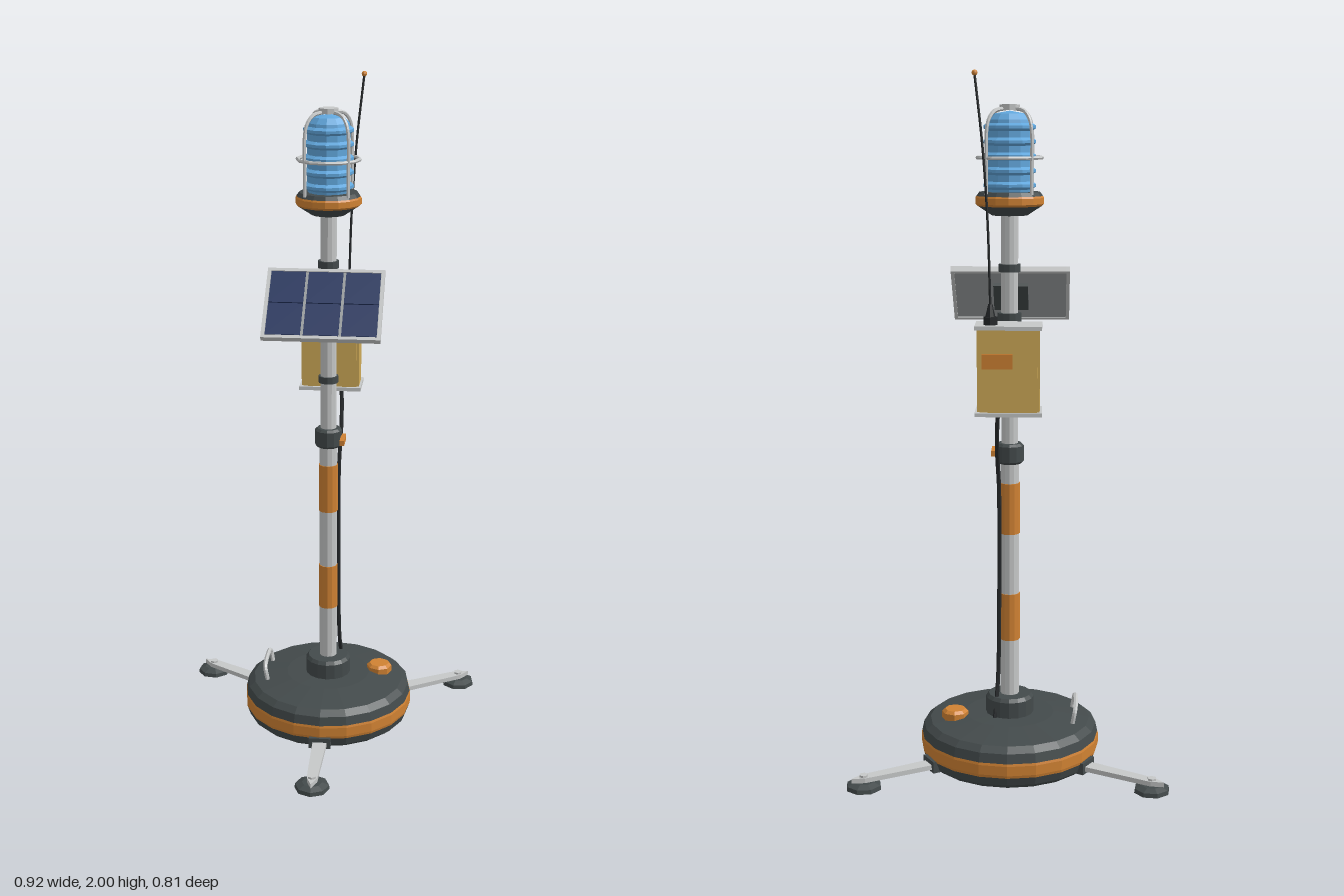
import * as THREE from 'three';

const mat = (name, color) => Object.assign(new THREE.MeshStandardMaterial({ color }), { name });

export function createModel() {
  const dark = mat('dark housing', 0x434a4b);
  const light = mat('light metal', 0xc6c8c8);
  const steel = mat('steel', 0x9b9fa0);
  const orange = mat('orange', 0xd08233);
  const blue = mat('blue lens', 0x62a8de);
  const tan = mat('tan box', 0xcfaa58);
  const navy = mat('solar cell', 0x22335e);
  const black = mat('black rubber', 0x25282a);

  const root = new THREE.Group();
  root.name = 'beaconStation';
  // Everything is placed relative to the pole axis
  const station = new THREE.Group();
  station.name = 'station';
  station.position.z = -0.118;
  root.add(station);

  // Adds a faceted mesh
  function add(name, geo, material, x = 0, y = 0, z = 0, parent = station) {
    const g = geo.index ? geo.toNonIndexed() : geo;
    g.computeVertexNormals();
    const m = new THREE.Mesh(g, material);
    m.name = name;
    m.position.set(x, y, z);
    parent.add(m);
    return m;
  }
  const box = (w, h, d) => new THREE.BoxGeometry(w, h, d);
  const lathe = (pts, n) => new THREE.LatheGeometry(pts.map(p => new THREE.Vector2(...p)), n);
  // Cylinder between two heights
  const drum = (name, r, y0, y1, material, n = 12, x = 0, z = 0, rTop = r, parent = station) =>
    add(name, new THREE.CylinderGeometry(rTop, r, y1 - y0, n), material, x, (y0 + y1) / 2, z, parent);
  const tube = (pts, r, seg = 24, n = 6) => new THREE.TubeGeometry(
    new THREE.CatmullRomCurve3(pts.map(p => new THREE.Vector3(...p))), seg, r, n);

  // Weighted base with painted band
  add('baseLower', lathe([[0, 0.004], [0.235, 0.004], [0.252, 0.018], [0.26, 0.042]], 20), dark);
  add('baseBand', lathe([[0.26, 0.042], [0.262, 0.05], [0.262, 0.078], [0.26, 0.085]], 20), orange);
  add('baseUpper', lathe([[0.26, 0.085], [0.254, 0.112], [0.235, 0.128], [0.13, 0.145], [0, 0.147]], 20), dark);
  drum('poleSocket', 0.07, 0.14, 0.193, dark, 16);
  drum('socketLip', 0.07, 0.193, 0.203, dark, 16, 0, 0, 0.062);
  drum('statusButton', 0.039, 0.135, 0.155, orange, 8, 0.16, -0.032);
  drum('buttonTop', 0.039, 0.155, 0.163, orange, 8, 0.16, -0.032, 0.03);

  // Carry handle
  add('handle', tube([[-0.185, 0.13, -0.068], [-0.192, 0.168, -0.068], [-0.194, 0.178, -0.055],
    [-0.194, 0.178, 0.05], [-0.192, 0.168, 0.063], [-0.185, 0.13, 0.063]], 0.007, 30), light);

  // Three outrigger legs
  const strut = new THREE.Shape([[-0.022, 0.24], [0.022, 0.24], [0.016, 0.46], [0.015, 0.475],
    [0, 0.51], [-0.015, 0.475], [-0.016, 0.46]].map(p => new THREE.Vector2(...p)));
  for (let i = 0; i < 3; i++) {
    const leg = new THREE.Group();
    leg.name = 'leg' + (i + 1);
    leg.rotation.y = i * Math.PI * 2 / 3;
    station.add(leg);
    add('legHinge', box(0.066, 0.034, 0.04), dark, 0, 0.03, 0.248, leg);
    const bar = new THREE.ExtrudeGeometry(strut, { depth: 0.014, bevelEnabled: false }).rotateX(Math.PI / 2);
    add('legStrut', bar, light, 0, 0.034, 0, leg);
    drum('footPad', 0.052, 0, 0.012, dark, 8, 0, 0.472, 0.05, leg);
    drum('footTop', 0.05, 0.012, 0.02, dark, 8, 0, 0.472, 0.03, leg);
    drum('footBolt', 0.013, 0.02, 0.04, light, 6, 0, 0.472, 0.013, leg);
  }

  // Pole with painted bands and clamps
  drum('lowerPole', 0.027, 0.18, 0.92, light);
  drum('upperPole', 0.024, 0.92, 1.63, light);
  for (const [y0, y1] of [[0.37, 0.51], [0.69, 0.84]]) drum('poleBand', 0.0295, y0, y1, orange);
  drum('heightClamp', 0.041, 0.905, 0.95, dark);
  drum('heightClampRim', 0.041, 0.95, 0.957, dark, 12, 0, 0, 0.034);
  drum('heightClampFoot', 0.034, 0.898, 0.905, dark, 12, 0, 0, 0.041);
  add('clampLever', box(0.014, 0.016, 0.07), orange, 0.046, 0.926, 0.022);
  drum('panelClamp', 0.034, 1.29, 1.332, dark);
  drum('upperClamp', 0.031, 1.448, 1.47, dark);

  // Equipment box behind the pole
  for (const y of [1.11, 1.26]) {
    drum('boxClamp', 0.03, y - 0.01, y + 0.01, dark);
    add('boxBracket', box(0.03, 0.016, 0.045), dark, 0, y, -0.035);
  }
  add('boxBody', box(0.16, 0.23, 0.102), tan, 0, 1.186, -0.098);
  for (const sx of [-1, 1]) {
    add('boxSide', box(0.012, 0.23, 0.085), tan, sx * 0.081, 1.186, -0.098);
  }
  for (const y of [1.066, 1.307]) add('boxLid', box(0.186, 0.011, 0.12), light, 0, y, -0.098);
  add('boxLabel', box(0.085, 0.042, 0.008), orange, 0.03, 1.215, -0.152);

  // Antenna
  drum('antennaBase', 0.019, 1.312, 1.335, black, 8, 0.05, -0.117);
  drum('antennaSpring', 0.014, 1.335, 1.37, black, 8, 0.05, -0.117, 0.006);
  add('antennaWhip', tube([[0.05, 1.36, -0.117], [0.057, 1.6, -0.122], [0.07, 1.8, -0.129],
    [0.09, 1.99, -0.138]], 0.0038), black);
  add('antennaTip', new THREE.SphereGeometry(0.008, 8, 6), orange, 0.09, 1.992, -0.138);

  // Cable from box to base
  add('cable', tube([[0.03, 1.065, -0.09], [0.033, 1.02, -0.082], [0.034, 0.93, -0.052], [0.03, 0.83, -0.03],
    [0.03, 0.5, -0.022], [0.034, 0.25, -0.024], [0.042, 0.14, -0.062]], 0.006, 40), black);

  // Tilted solar panel
  const panel = new THREE.Group();
  panel.name = 'solarPanel';
  panel.position.set(0, 1.37, 0.143);
  panel.rotation.x = 0.723;
  station.add(panel);
  add('panelBack', box(0.33, 0.01, 0.23), steel, 0, 0, 0, panel);
  for (const s of [-1, 1]) {
    add('panelSideRail', box(0.01, 0.018, 0.242), light, s * 0.165, 0.001, 0, panel);
    add('panelEndRail', box(0.32, 0.018, 0.01), light, 0, 0.001, s * 0.116, panel);
    for (const c of [-1, 0, 1]) add('solarCell', box(0.1, 0.005, 0.108), navy, c * 0.1085, 0.007, s * 0.0555, panel);
  }
  add('panelMount', box(0.1, 0.012, 0.12), dark, 0, -0.01, 0, panel);
  add('panelArm', tube([[0, 1.31, 0.02], [0, 1.33, 0.07], [0, 1.36, 0.135]], 0.011, 8), steel);

  // Beacon housing
  add('beaconSeat', lathe([[0, 1.606], [0.05, 1.606], [0.09, 1.632]], 16), dark);
  add('beaconBand', lathe([[0.09, 1.632], [0.096, 1.638], [0.096, 1.655], [0.093, 1.66]], 16), orange);
  add('beaconRim', lathe([[0.093, 1.66], [0.085, 1.671], [0, 1.671]], 16), dark);

  // Ribbed lens
  const ribs = [[0.06, 1.668]];
  for (let i = 0; i < 5; i++) {
    const y = 1.685 + i * 0.04;
    ribs.push([0.062, y - 0.007], [0.073, y], [0.073, y + 0.008], [0.062, y + 0.015]);
  }
  ribs.push([0.06, 1.869], [0.045, 1.885], [0, 1.893]);
  add('lens', lathe(ribs, 12), blue);

  // Wire cage
  for (let i = 0; i < 4; i++) {
    const a = Math.PI / 4 + i * Math.PI / 2, c = Math.cos(a), s = Math.sin(a);
    add('cageWire', tube([[0.088, 1.665], [0.088, 1.75], [0.088, 1.83], [0.08, 1.868], [0.058, 1.892], [0.01, 1.9]]
      .map(([r, y]) => [r * c, y, r * s]), 0.0055), light);
  }
  add('cageRing', new THREE.TorusGeometry(0.09, 0.0055, 6, 12).rotateX(Math.PI / 2), light, 0, 1.765);
  drum('cageCap', 0.029, 1.895, 1.91, light, 10);

  return root;
}
